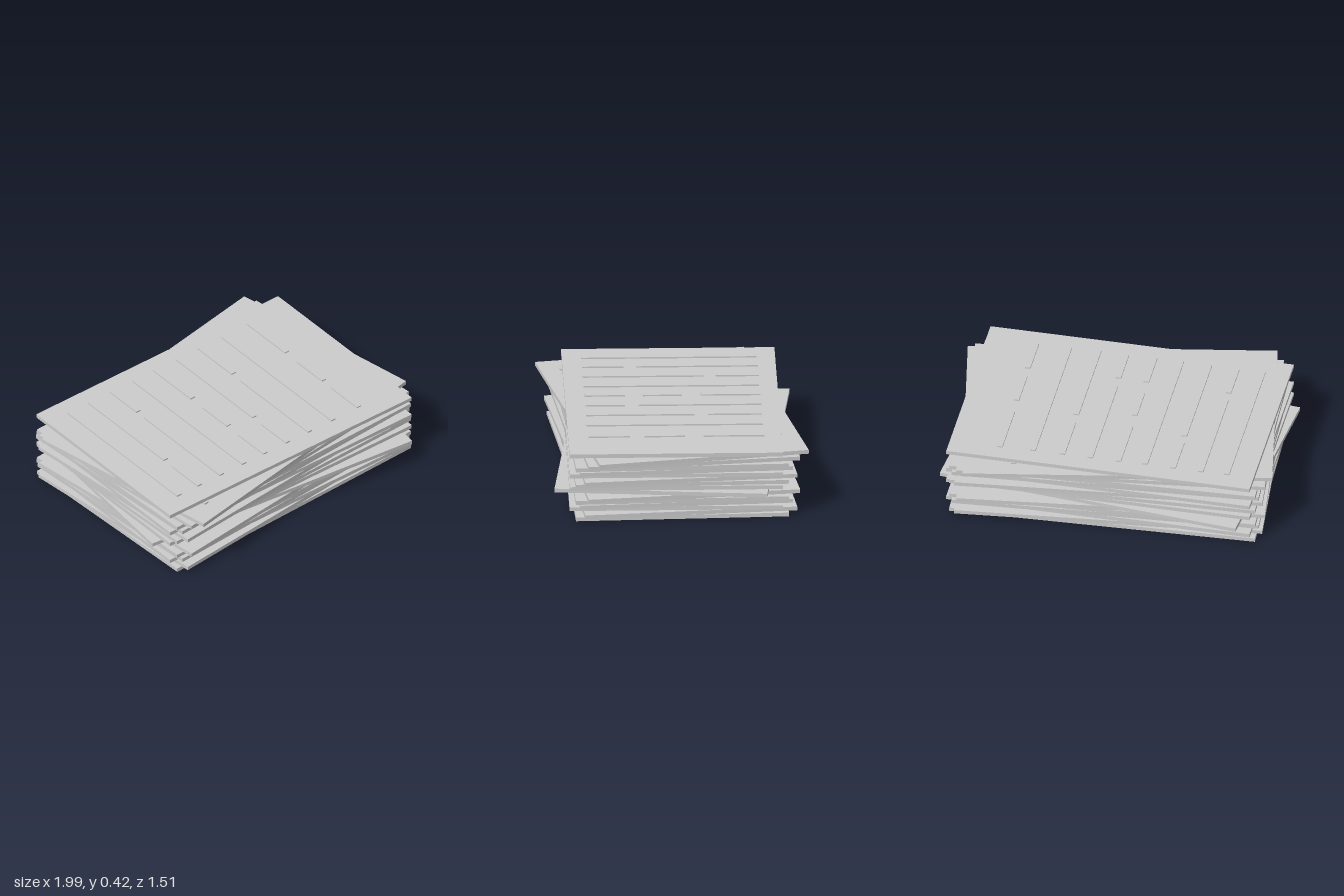
import * as THREE from 'three';

const WIDTH = 1.83, DEPTH = 1.26, THICK = 0.0235, GAP = 0.0085;
const DEG = Math.PI / 180;

// Raised bars: column x, then the [start, end] z of every dash
const COLUMNS = [
  [-0.753, [-0.52, 0.515]],
  [-0.597, [-0.525, 0.195], [0.27, 0.515]],
  [-0.43, [-0.525, -0.27], [-0.2, 0.515]],
  [-0.26, [-0.52, 0.515]],
  [-0.1, [-0.525, -0.17], [-0.06, 0.17], [0.275, 0.515]],
  [0.07, [-0.525, 0.2], [0.28, 0.515]],
  [0.238, [-0.525, -0.205], [-0.125, 0.515]],
  [0.415, [-0.525, 0.515]],
  [0.613, [-0.53, -0.17], [-0.06, 0.18], [0.265, 0.51]],
];

export function createModel() {
  const model = new THREE.Group();
  model.name = 'sheetStack';
  const material = new THREE.MeshStandardMaterial({ color: 0xcccccc, flatShading: true });
  const sheetGeometry = new THREE.BoxGeometry(WIDTH, THICK, DEPTH);

  const addBars = (parent) => {
    for (const [x, ...dashes] of COLUMNS) {
      for (const [z0, z1] of dashes) {
        const bar = new THREE.Mesh(new THREE.BoxGeometry(0.032, GAP, z1 - z0), material);
        bar.name = 'raisedBar';
        bar.position.set(x, (THICK + GAP) / 2, (z0 + z1) / 2);
        parent.add(bar);
      }
    }
  };

  // Two piles of eight loosely turned sheets; some carry raised bars
  let y = 0;
  [-8, 8.2].forEach((wide, pile) => {
    const angles = [0, 3.3, -2.3, 1.65, 0, 4.5, wide, -2.3];
    angles.forEach((angle, i) => {
      const sheet = new THREE.Group();
      sheet.name = 'sheet';
      const board = new THREE.Mesh(sheetGeometry, material);
      board.name = 'board';
      sheet.add(board);
      sheet.position.y = y + THICK / 2;
      sheet.rotation.y = angle * DEG;
      y += THICK;
      if (i === 1 || i === 6 || (pile === 1 && i === 7)) {
        addBars(sheet);
        y += GAP;
      }
      model.add(sheet);
    });
  });
  return model;
}
